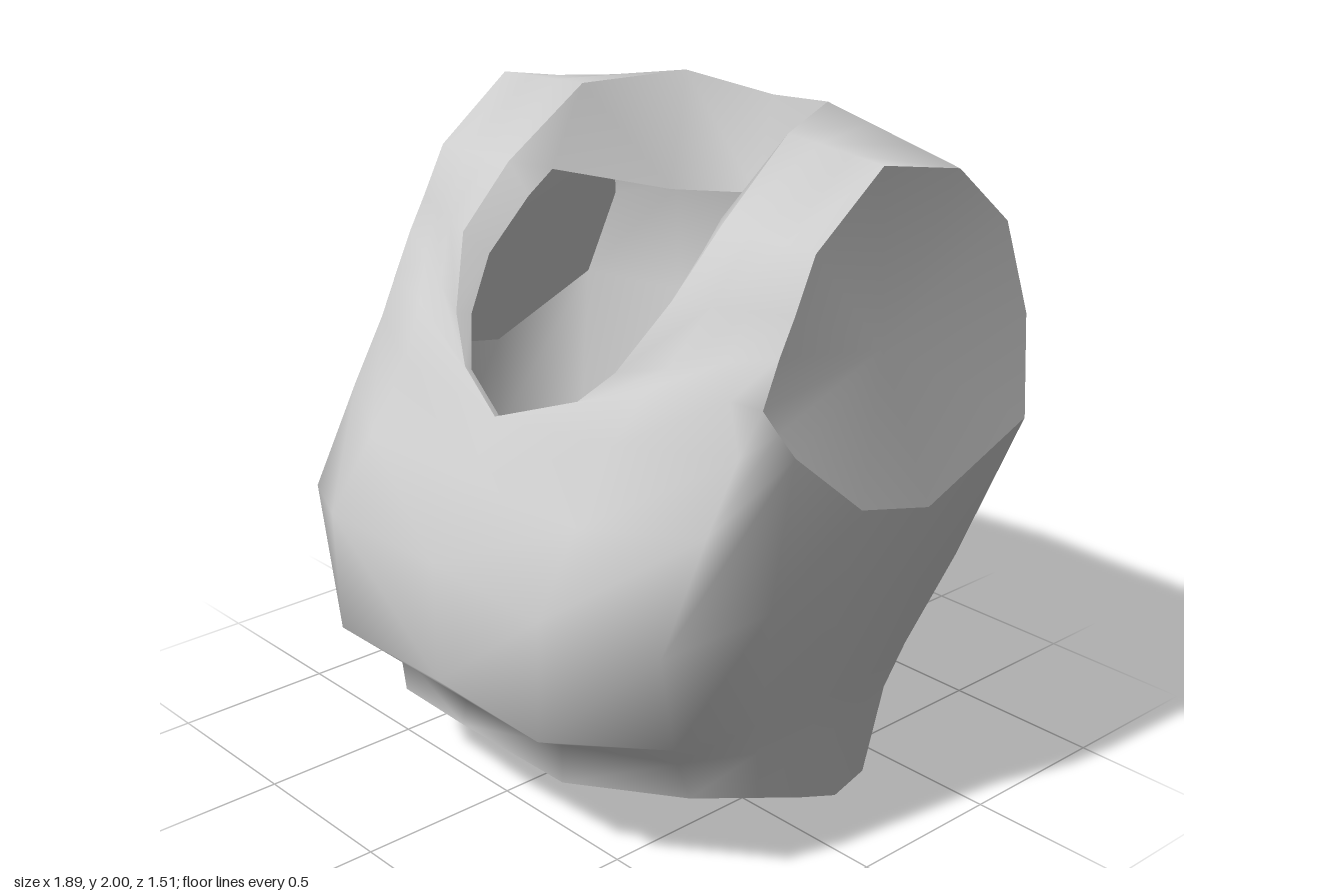
import * as THREE from 'three';
import { mergeVertices } from 'three/addons/utils/BufferGeometryUtils.js';

const fabric = new THREE.MeshStandardMaterial({ color: 0xcccccc, side: THREE.DoubleSide });
fabric.name = 'light grey fabric';

// Half rings of the torso, from front centre round the +x side to back centre
const hem = [[0, .285, .655], [.37, .23, .59], [.66, .22, .37], [.75, .19, .19], [.74, .11, 0],
  [.73, .05, -.155], [.65, .015, -.365], [.45, .01, -.45], [.24, .005, -.49], [0, 0, -.5]];
const crease = [[0, .36, .64], [.38, .36, .6], [.66, .35, .42], [.755, .34, .2], [.765, .32, 0],
  [.765, .3, -.18], [.68, .3, -.41], [.48, .3, -.5], [.25, .3, -.53], [0, .3, -.53]];
const underChest = [[0, .46, .74], [.46, .46, .75], [.765, .48, .53], [.785, .46, .22], [.795, .45, 0],
  [.8, .45, -.18], [.72, .45, -.45], [.5, .45, -.545], [.26, .45, -.57], [0, .45, -.57]];
const chest = [[0, .83, .745], [.475, .83, .755], [.785, .78, .6], [.81, .8, .22], [.86, .76, 0],
  [.88, .74, -.2], [.83, .75, -.52], [.56, .75, -.62], [.28, .75, -.63], [0, .75, -.62]];
const armpit = [[0, 1.05, .61], [.46, 1.05, .61], [.785, 1.08, .44], [.845, 1.25, .18], [.915, 1.07, -.01],
  [.945, 1.02, -.25], [.945, 1.18, -.65], [.6, 1.17, -.755], [.3, 1.17, -.755], [0, 1.13, -.73]];

// Neck opening, front centre to back centre: outer edge and inner edge of the collar
const neckOuter = [[0, 1.21, .51], [.23, 1.28, .435], [.35, 1.4, .37], [.45, 1.6, .26],
  [.455, 1.78, .08], [.43, 1.98, -.19], [.295, 2, -.49], [0, 1.96, -.57]];
const neckInner = [[0, 1.2, .49], [.22, 1.27, .42], [.33, 1.39, .33], [.38, 1.54, .22],
  [.375, 1.69, .07], [.36, 1.76, -.01], [.23, 1.66, -.37], [0, 1.67, -.505]];

// Arm opening edge, from the front of the armpit over the shoulder to the back
const armEdge = [[.82, 1.32, .22], [.8, 1.39, .26], [.797, 1.52, .2], [.795, 1.62, .145], [.79, 1.77, .07],
  [.79, 1.96, -.18], [.79, 1.9, -.49], [.83, 1.73, -.66], [.875, 1.46, -.715]];

const mix = (a, b, t) => a.map((v, i) => v + (b[i] - v) * t);
const strap = (a, b) => [a, mix(a, b, 1 / 3), mix(a, b, 2 / 3), b];

// Rows running from neck to arm: up the front, over the shoulder, down the back
const upperRows = [
  armpit.slice(0, 4),
  [neckOuter[0], [.46, 1.25, .48], [.785, 1.27, .33], armEdge[0]],
  [neckOuter[1], [.5, 1.4, .39], [.73, 1.41, .31], armEdge[1]],
  ...[2, 3, 4, 5, 6].map(i => strap(neckOuter[i], armEdge[i])),
  [neckOuter[7], [.3, 1.93, -.6], [.6, 1.84, -.63], armEdge[7]],
  [[0, 1.58, -.71], [.3, 1.56, -.74], [.6, 1.53, -.745], armEdge[8]],
  armpit.slice(6).reverse(),
];

function addTriangle(out, a, b, c, mirror) {
  for (const p of mirror ? [a, c, b] : [a, b, c]) out.push(mirror ? -p[0] : p[0], p[1], p[2]);
}

function addGrid(out, rows) {
  for (const mirror of [false, true]) {
    for (let r = 0; r + 1 < rows.length; r++) {
      for (let c = 0; c + 1 < rows[r].length; c++) {
        const a = rows[r][c], b = rows[r][c + 1], d = rows[r + 1][c], e = rows[r + 1][c + 1];
        addTriangle(out, a, b, e, mirror);
        addTriangle(out, a, e, d, mirror);
      }
    }
  }
}

function makeMesh(name, positions) {
  let geometry = new THREE.BufferGeometry();
  geometry.setAttribute('position', new THREE.Float32BufferAttribute(positions, 3));
  geometry = mergeVertices(geometry, 1e-4);
  geometry.computeVertexNormals();
  const mesh = new THREE.Mesh(geometry, fabric);
  mesh.name = name;
  return mesh;
}

export function createModel() {
  const group = new THREE.Group();
  group.name = 'sleevelessTop';

  // Smooth body shell, open at the hem and neck
  const body = [];
  addGrid(body, [hem, crease, underChest, chest, armpit]);
  addGrid(body, upperRows);
  group.add(makeMesh('body', body));

  // Collar band turned into the neck opening
  const collar = [];
  addGrid(collar, [neckOuter, neckInner]);
  group.add(makeMesh('collar', collar));

  // Flat panels closing the arm openings
  const loop = [armpit[3], ...armEdge, armpit[6], armpit[5], armpit[4]];
  const centre = [0, 1, 2].map(i => loop.reduce((sum, p) => sum + p[i], 0) / loop.length);
  for (const mirror of [false, true]) {
    const panel = [];
    loop.forEach((p, i) => addTriangle(panel, centre, loop[(i + 1) % loop.length], p, mirror));
    group.add(makeMesh(mirror ? 'rightArmPanel' : 'leftArmPanel', panel));
  }
  return group;
}
